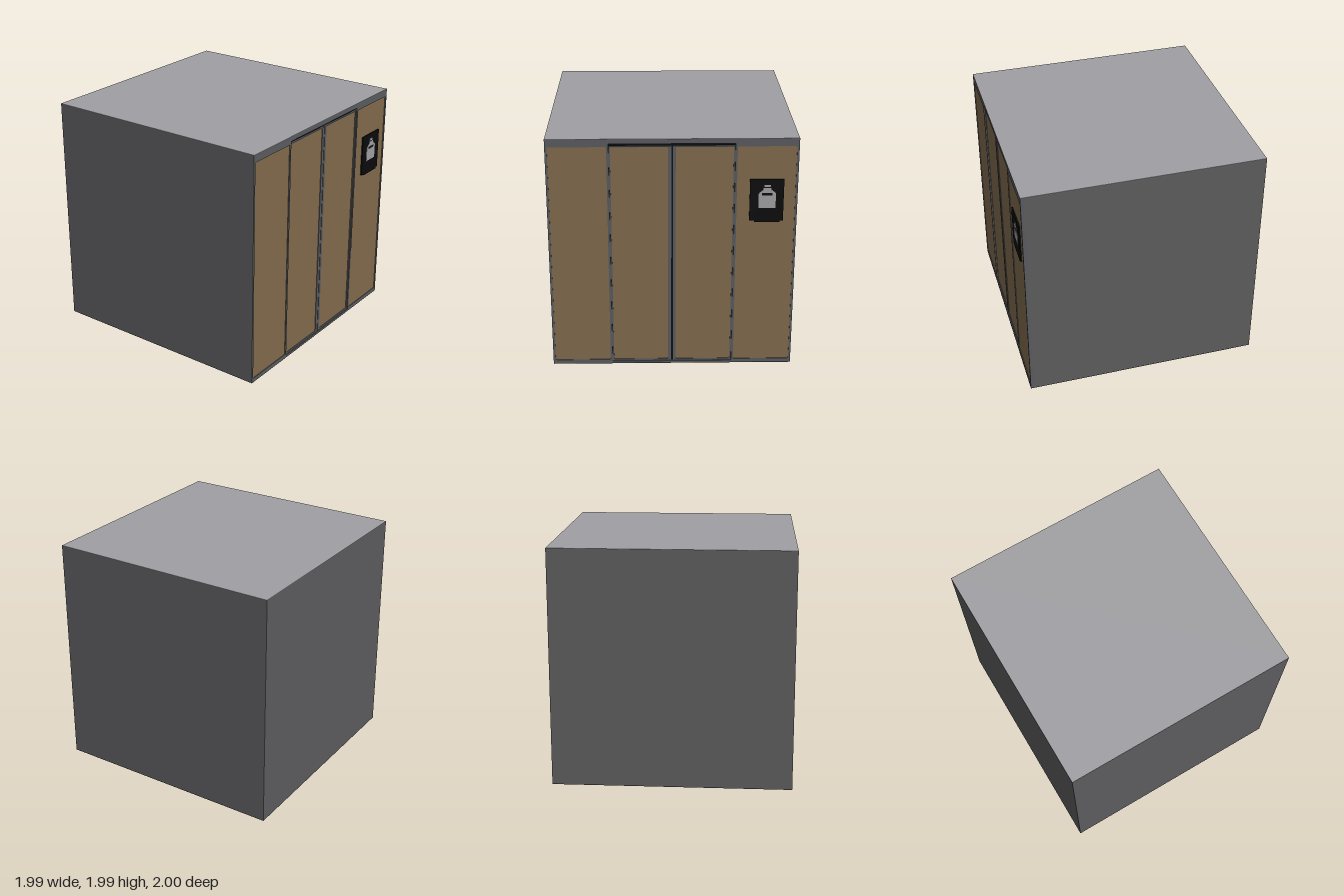
import * as THREE from 'three';

const mat = (name, color) => {
  const m = new THREE.MeshStandardMaterial({ color });
  m.name = name;
  return m;
};

// rectangle outline with clipped-round corners, usable as shape or hole
function roundRect(path, x0, y0, x1, y1, r) {
  path.moveTo(x0 + r, y0);
  path.lineTo(x1 - r, y0);
  path.quadraticCurveTo(x1, y0, x1, y0 + r);
  path.lineTo(x1, y1 - r);
  path.quadraticCurveTo(x1, y1, x1 - r, y1);
  path.lineTo(x0 + r, y1);
  path.quadraticCurveTo(x0, y1, x0, y1 - r);
  path.lineTo(x0, y0 + r);
  path.quadraticCurveTo(x0, y0, x0 + r, y0);
  return path;
}

function rectPath(path, x0, y0, x1, y1) {
  path.moveTo(x0, y0);
  path.lineTo(x1, y0);
  path.lineTo(x1, y1);
  path.lineTo(x0, y1);
  path.closePath();
  return path;
}

export function createModel() {
  const group = new THREE.Group();
  const grey = mat('side grey', 0x5c5c5e);
  const light = mat('light grey', 0xa0a0a4);
  const frameGrey = mat('frame grey', 0x5a5b5f);
  const wood = mat('wood brown', 0x806a4c);
  const black = mat('black', 0x0b0b0b);

  const add = (name, geo, material) => {
    const m = new THREE.Mesh(geo, material);
    m.name = name;
    group.add(m);
    return m;
  };
  const box = (name, x0, y0, z0, x1, y1, z1, material) => {
    const g = new THREE.BoxGeometry(x1 - x0, y1 - y0, z1 - z0);
    g.translate((x0 + x1) / 2, (y0 + y1) / 2, (z0 + z1) / 2);
    return add(name, g, material);
  };
  const slab = (name, shape, z0, z1, material) => {
    const g = new THREE.ExtrudeGeometry(shape, { depth: z1 - z0, bevelEnabled: false, curveSegments: 4 });
    g.translate(0, 0, z0);
    return add(name, g, material);
  };

  const W = 0.995, H = 1.99, FRONT = 0.993, BACK = 0.965, T = 0.003;

  // cabinet block with its lighter roof and dark underside
  box('cabinet', -W, T, -1, W, H - T, BACK, grey);
  box('roof', -W, H - T, -1, W, H, FRONT, light);
  box('underside', -W, 0, -1, W, T, FRONT, black);

  // front frame: two fixed side bays and a doorway between them
  const PY0 = 0.037, PY1 = 1.925, R = 0.015;
  const bays = [[-0.977, -0.515], [0.512, 0.977]];
  const frame = rectPath(new THREE.Shape(), -W, T, W, H - T);
  for (const [x0, x1] of bays) frame.holes.push(roundRect(new THREE.Path(), x0, PY0, x1, PY1, R));
  frame.holes.push(rectPath(new THREE.Path(), -0.498, 0.02, 0.495, 1.95));
  slab('frontFrame', frame, BACK, FRONT, frameGrey);
  for (const [x0, x1] of bays) box('sidePanel', x0, PY0, BACK, x1, PY1, FRONT - 0.006, wood);

  // dark doorway behind the sliding doors
  box('doorwayShadow', -0.498, 0.02, BACK, 0.495, 1.95, BACK + 0.003, black);

  // two sliding doors, each a slim frame around a wooden panel
  const doors = [[-0.497, -0.003, -0.486, -0.033], [0.003, 0.494, 0.028, 0.483]];
  for (const [x0, x1, px0, px1] of doors) {
    const leaf = rectPath(new THREE.Shape(), x0, 0.021, x1, 1.927);
    leaf.holes.push(roundRect(new THREE.Path(), px0, PY0, px1, 1.92, R));
    slab('doorFrame', leaf, BACK, 0.985, frameGrey);
    box('doorPanel', px0, PY0, BACK, px1, 1.92, 0.98, wood);
  }

  // wall sign with a plain bottle pictogram
  box('sign', 0.615, 1.3, 0.986, 0.885, 1.65, 0.998, black);
  box('signLowerEdge', 0.655, 1.287, 0.986, 0.86, 1.3, 0.998, black);
  const bottle = new THREE.Shape();
  [[0.685, 1.41], [0.822, 1.41], [0.822, 1.535], [0.785, 1.565], [0.785, 1.58],
    [0.722, 1.58], [0.722, 1.565], [0.685, 1.535]]
    .forEach(([x, y], i) => (i ? bottle.lineTo(x, y) : bottle.moveTo(x, y)));
  bottle.closePath();
  bottle.holes.push(rectPath(new THREE.Path(), 0.712, 1.515, 0.795, 1.535));
  slab('bottleSymbol', bottle, 0.998, 1, light);
  box('bottleCap', 0.73, 1.587, 0.998, 0.778, 1.605, 1, light);

  return group;
}
